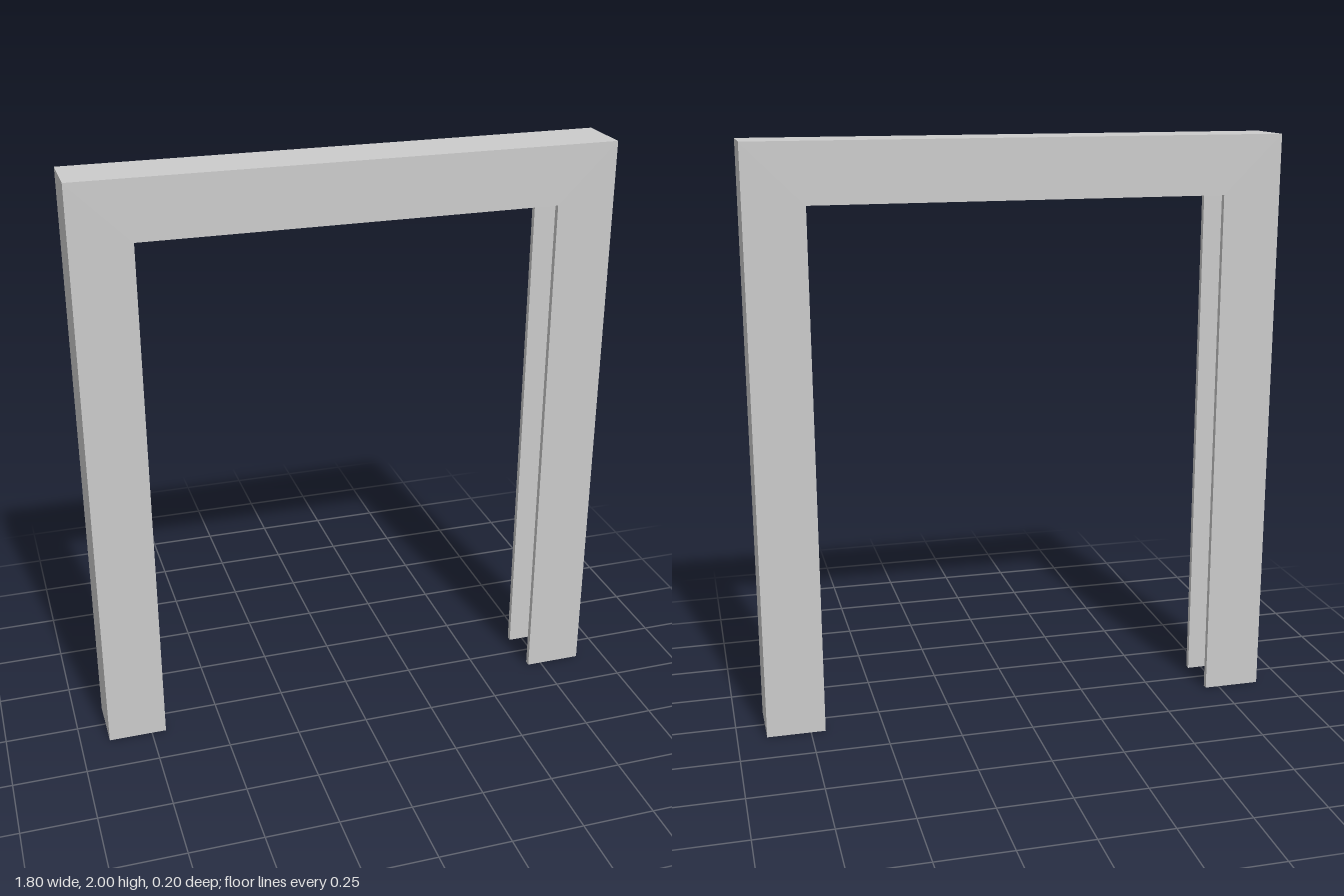
import * as THREE from 'three';

const HALF_WIDTH = 0.9, HEIGHT = 2, SIZE = 0.2, WALL = 0.02;

// U-channel cross-section: x = distance inward from the outer edge, y = depth (z)
const h = SIZE / 2, w = WALL;
const section = [
  [0, h], [0, -h], [SIZE, -h], [SIZE, -h + w],
  [w, -h + w], [w, h - w], [SIZE, h - w], [SIZE, h],
].map(([d, z]) => new THREE.Vector2(d, z));

// Mitred stations along the portal: left foot, two top corners, right foot
const stations = [
  (d) => [-HALF_WIDTH + d, 0],
  (d) => [-HALF_WIDTH + d, HEIGHT - d],
  (d) => [HALF_WIDTH - d, HEIGHT - d],
  (d) => [HALF_WIDTH - d, 0],
];

function channelFrameGeometry() {
  const positions = [], index = [];
  const n = section.length, last = (stations.length - 1) * n;
  for (const at of stations) {
    for (const p of section) positions.push(...at(p.x), p.y);
  }
  // Channel walls between neighbouring stations
  for (let s = 0; s < last; s += n) {
    for (let i = 0; i < n; i++) {
      const j = (i + 1) % n;
      index.push(s + i, s + n + i, s + n + j, s + i, s + n + j, s + j);
    }
  }
  // U-shaped ends of both feet
  for (const [a, b, c] of THREE.ShapeUtils.triangulateShape(section, [])) {
    index.push(a, b, c, last + a, last + c, last + b);
  }
  const geometry = new THREE.BufferGeometry();
  geometry.setAttribute('position', new THREE.Float32BufferAttribute(positions, 3));
  geometry.setIndex(index);
  const flat = geometry.toNonIndexed();
  flat.computeVertexNormals();
  return flat;
}

export function createModel() {
  const group = new THREE.Group();
  group.name = 'portalFrame';
  const material = new THREE.MeshStandardMaterial({ color: 0xcccccc, flatShading: true });
  const frame = new THREE.Mesh(channelFrameGeometry(), material);
  frame.name = 'channelFrame';
  group.add(frame);
  return group;
}
